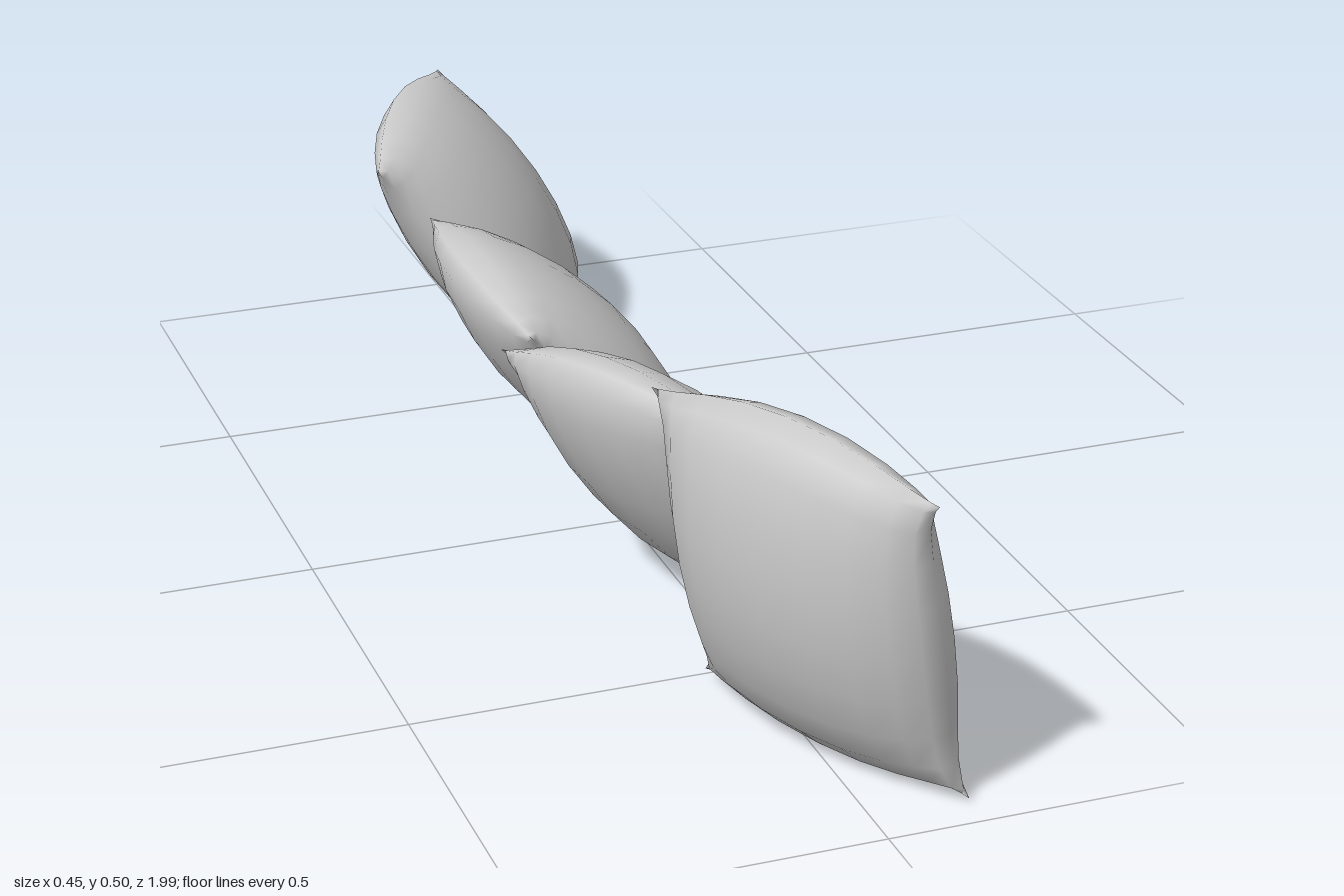
import * as THREE from 'three';
import { mergeVertices, mergeGeometries } from 'three/addons/utils/BufferGeometryUtils.js';

const SEGMENTS = 10;
const THICKNESS = 0.1; // half thickness at the middle

// Corners of each pillow: front top, back top, front bottom, back bottom
const PILLOWS = [
  [[0.06, 0.465, 0.99], [-0.15, 0.46, 0.51], [0.135, 0.01, 0.955], [-0.07, 0.018, 0.515]],
  [[-0.07, 0.4, 0.53], [-0.215, 0.335, 0.045], [0.185, 0.04, 0.515], [0.05, 0.01, 0.02]],
  [[-0.16, 0.335, 0.025], [-0.16, 0.335, -0.495], [0.13, 0.04, 0.02], [0.13, 0.04, -0.49]],
  [[-0.23, 0.4, -0.545], [0.01, 0.4, -1], [0.01, 0.045, -0.49], [0.225, 0.035, -0.895]],
];

// Edge offset: a quick pinch beside the pointed corners, then a soft bow outwards
const edge = (s, pinch, bow) => -pinch * (1 - Math.abs(s) ** 8) + bow * (1 - s * s);

function pillowGeometry(corners) {
  const [ft, bt, fb, bb] = corners.map((c) => new THREE.Vector3(...c));
  const across = bt.clone().add(bb).sub(ft).sub(fb).normalize();
  const up = ft.clone().add(bt).sub(fb).sub(bb).normalize();
  const normal = across.clone().cross(up).normalize();

  // One puffed sheet for each face; they meet along the seam
  const sheets = [1, -1].map((side) => {
    const geometry = new THREE.PlaneGeometry(2, 2, SEGMENTS, SEGMENTS);
    geometry.deleteAttribute('uv');
    geometry.deleteAttribute('normal');
    const pos = geometry.attributes.position;
    for (let i = 0; i < pos.count; i++) {
      // Rows are packed closer towards the seam
      const u = side * Math.sin((pos.getX(i) * Math.PI) / 2);
      const v = Math.sin((pos.getY(i) * Math.PI) / 2);
      const top = ft.clone().lerp(bt, (u + 1) / 2);
      const p = fb.clone().lerp(bb, (u + 1) / 2).lerp(top, (v + 1) / 2);
      const puff = Math.sqrt(Math.max(0, (1 - u * u) * (1 - v * v)));
      p.addScaledVector(across, u * Math.abs(u) * edge(v, 0.03, 0.013));
      p.addScaledVector(up, v * Math.abs(v) * (v > 0 ? edge(u, 0.012, 0.055) : edge(u, 0.015, 0.028)));
      p.addScaledVector(normal, side * THICKNESS * puff);
      pos.setXYZ(i, p.x, p.y, p.z);
    }
    return geometry;
  });

  const geometry = mergeVertices(mergeGeometries(sheets), 1e-4);
  geometry.computeVertexNormals();
  return geometry;
}

export function createModel() {
  const group = new THREE.Group();
  group.name = 'pillowRow';
  const fabric = new THREE.MeshStandardMaterial({ color: 0xcccccc });
  PILLOWS.forEach((corners, i) => {
    const pillow = new THREE.Mesh(pillowGeometry(corners), fabric);
    pillow.name = `pillow${i + 1}`;
    group.add(pillow);
  });
  return group;
}
